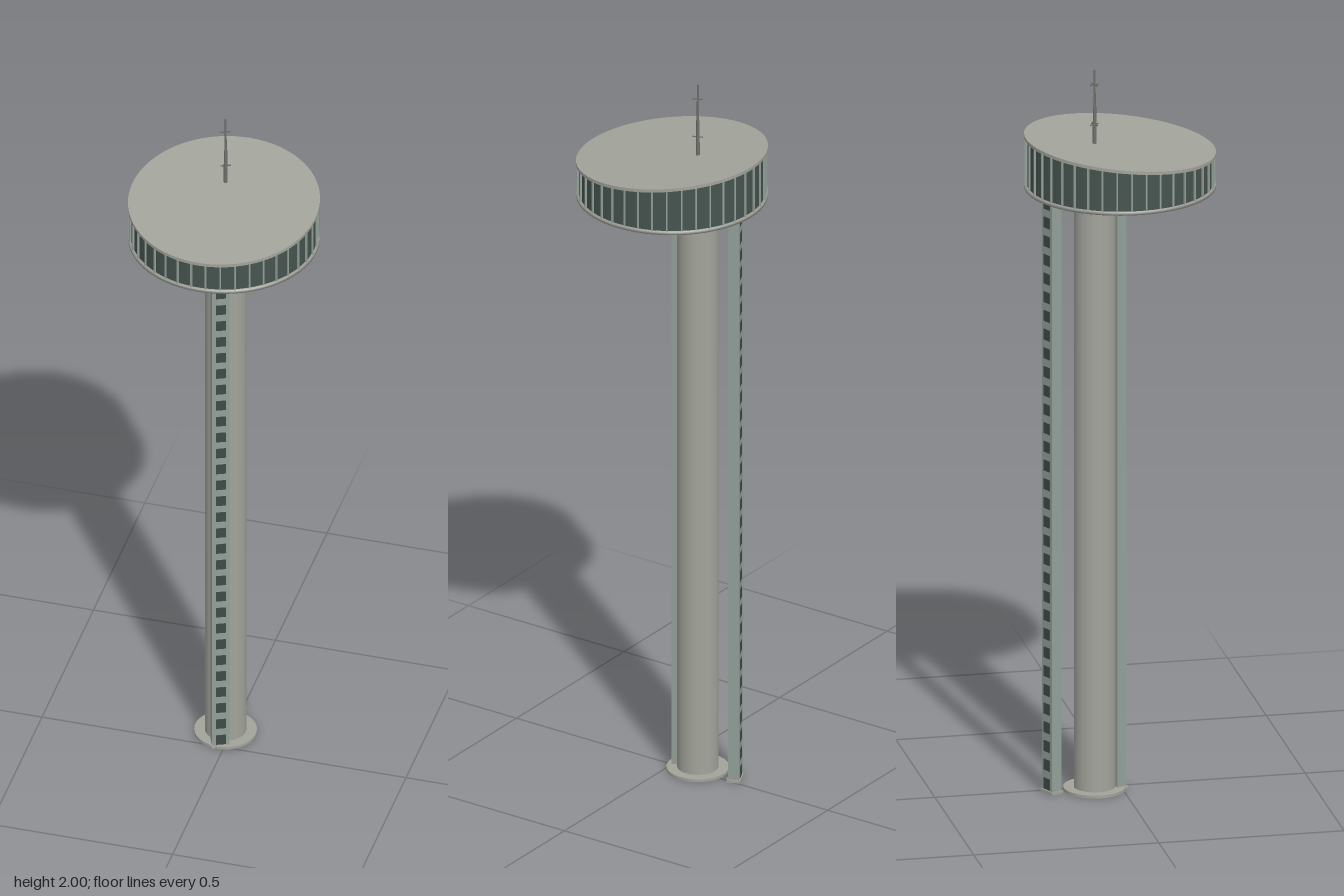
import * as THREE from 'three';

const CX = -0.016, CZ = -0.072;   // axis of the column and mast
const TURN = 0.42;                // turn of the shafts and antenna
const SLOPE = 0.104;              // roof falls toward the front
const roofY = (z) => 1.788 - SLOPE * z;

const mat = (name, color, extra = {}) => Object.assign(new THREE.MeshStandardMaterial({ color }), { name }, extra);

export function createModel() {
  const concrete = mat('concrete', 0xa2a49b);
  const glass = mat('darkGlass', 0x46544f);
  const frame = mat('paleFrame', 0x94a09a);
  const pane = mat('shaftPane', 0x3f4a47);
  const metal = mat('mastMetal', 0x6e716c);

  const model = new THREE.Group();
  model.name = 'tower';
  const add = (parent, name, geometry, material, x = 0, y = 0, z = 0) => {
    const mesh = new THREE.Mesh(geometry, material);
    mesh.name = name;
    mesh.position.set(x, y, z);
    parent.add(mesh);
    return mesh;
  };
  const group = (name, x = 0, y = 0, z = 0) => {
    const g = new THREE.Group();
    g.name = name;
    g.position.set(x, y, z);
    model.add(g);
    return g;
  };

  // Column and its foot
  add(model, 'column', new THREE.CylinderGeometry(0.055, 0.055, 1.65, 48), concrete, CX, 0.825, CZ);
  add(model, 'columnFoot', new THREE.CylinderGeometry(0.083, 0.083, 0.008, 48), concrete, CX, 0.004, CZ);

  // Rectangular shafts with a ladder of panes
  const W = 0.046, D = 0.03, H = 1.664, N = 32, pitch = H / N;
  const paneGeo = new THREE.BoxGeometry(0.026, pitch * 0.58, 0.002);
  const shaft = (name, x, z, faces) => {
    const g = group(name, x, 0, z);
    g.rotation.y = TURN;
    add(g, 'shaftBody', new THREE.BoxGeometry(W, H, D), frame, 0, H / 2, 0);
    add(g, 'shaftFoot', new THREE.BoxGeometry(W + 0.006, 0.008, D + 0.006), concrete, 0, 0.004, 0);
    for (const side of faces)
      for (let i = 0; i < N; i++)
        add(g, 'shaftPane', paneGeo, pane, 0, (i + 0.5) * pitch, side * (D / 2 + 0.0005));
  };
  shaft('frontShaft', -0.014, -0.011, [1]);
  shaft('backShaft', -0.02, -0.189, [1, -1]);

  // Shallow cone floor and lower rim of the cabin
  const floor = [[0, 1.638], [0.09, 1.638], [0.254, 1.667], [0.254, 1.676], [0.246, 1.676]];
  const floorGeo = new THREE.LatheGeometry(floor.map(([r, y]) => new THREE.Vector2(r, y)), 64);
  add(model, 'cabinFloor', floorGeo, mat('floorConcrete', 0x9a9c94, { side: THREE.DoubleSide }));

  // Vertices above a height follow the roof slope
  const slant = (geo, above) => {
    const p = geo.attributes.position;
    for (let i = 0; i < p.count; i++)
      if (p.getY(i) > above) p.setY(i, p.getY(i) - SLOPE * p.getZ(i));
    geo.computeVertexNormals();
    return geo;
  };
  const glassGeo = new THREE.CylinderGeometry(0.247, 0.247, 0.112, 80, 1, true).translate(0, 1.726, 0);
  add(model, 'cabinGlass', slant(glassGeo, 1.75), glass);
  const roofGeo = new THREE.CylinderGeometry(0.254, 0.254, 0.009, 80).translate(0, 1.7835, 0);
  add(model, 'roof', slant(roofGeo, 0), concrete);

  // Mullions around the glass
  const mullions = group('mullions');
  for (let i = 0; i < 40; i++) {
    const a = ((i + 0.5) / 40) * Math.PI * 2;
    const x = Math.sin(a) * 0.248, z = Math.cos(a) * 0.248;
    const top = roofY(z) - 0.008, bottom = 1.672;
    const bar = add(mullions, 'mullion', new THREE.BoxGeometry(0.004, top - bottom, 0.008), frame, x, (top + bottom) / 2, z);
    bar.rotation.y = a;
  }

  // Roof mast with two sets of crossed arms
  const base = roofY(CZ) - 0.004;
  const mast = group('mast', CX, 0, CZ);
  mast.rotation.y = TURN;
  add(mast, 'mastLower', new THREE.CylinderGeometry(0.0045, 0.0055, 0.105, 12), metal, 0, base + 0.0525, 0);
  add(mast, 'mastUpper', new THREE.CylinderGeometry(0.0025, 0.0035, 2 - base - 0.1, 12), metal, 0, (2 + base + 0.1) / 2, 0);
  for (const y of [1.848, 1.958])
    for (const turn of [0, Math.PI / 2])
      add(mast, 'mastArm', new THREE.BoxGeometry(0.028, 0.003, 0.002), metal, 0, y, 0).rotation.y = turn;

  return model;
}
